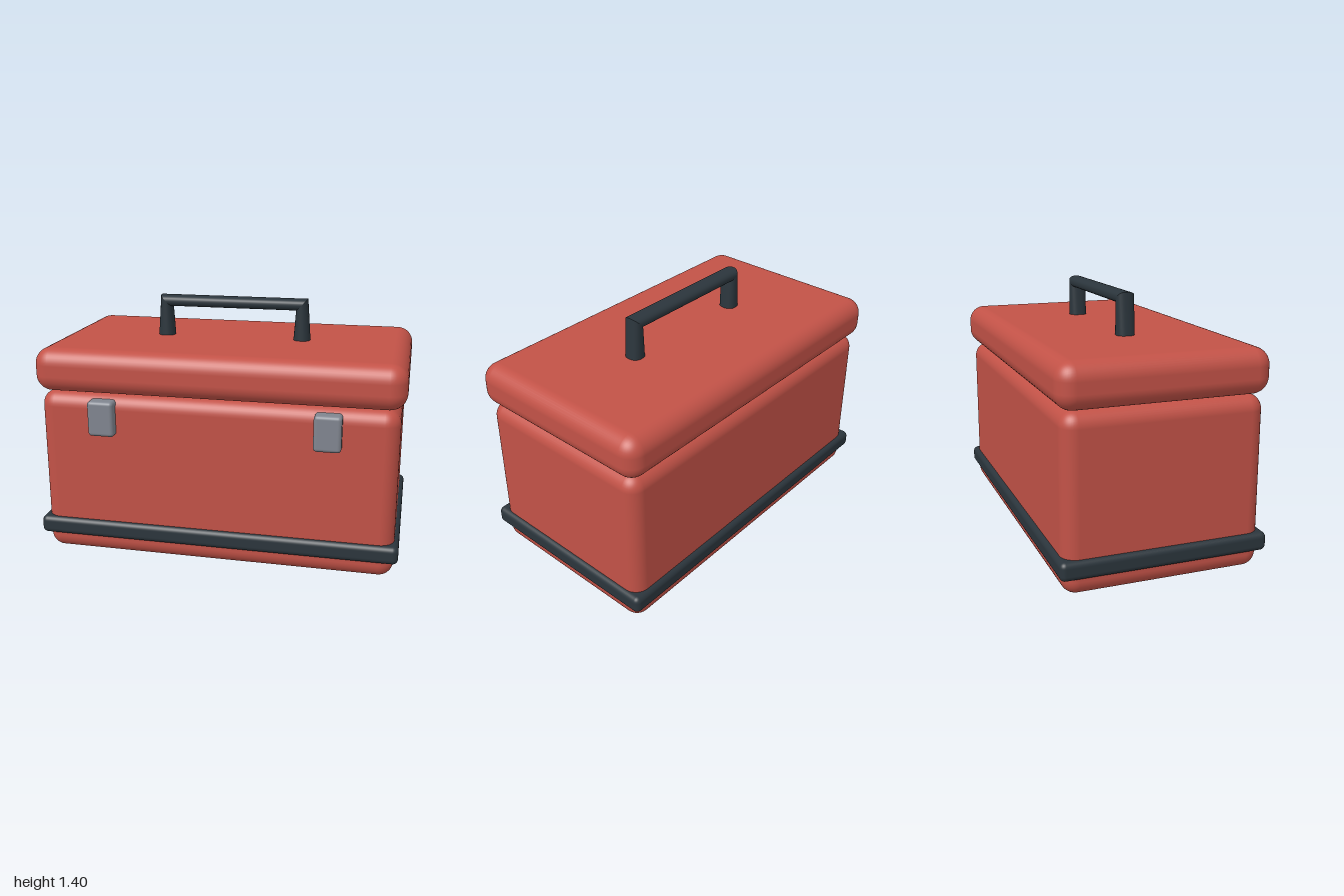
import * as THREE from 'three';
import { RoundedBoxGeometry } from 'three/addons/geometries/RoundedBoxGeometry.js';

const material = (name, color) => {
  const m = new THREE.MeshStandardMaterial({ color });
  m.name = name;
  return m;
};

// Mitred handle: rings at the two feet and the two diagonal corners
function handleGeometry() {
  const sides = 32;
  const foot = { x: 0.393, y: 1.15, dx: 0.049, dy: 0 };
  const corner = { x: 0.39, y: 1.3675, dx: 0.0325, dy: 0.0325 };
  const flip = (r) => ({ ...r, x: -r.x, dx: -r.dx });
  const rings = [flip(foot), flip(corner), corner, foot];
  const round = (v) => Math.sign(v) * Math.abs(v) ** 0.85;
  const positions = [], indices = [];
  // Each span has its own rings so the corners stay sharp
  for (let span = 0; span < 3; span++) {
    const base = positions.length / 3;
    for (const r of [rings[span], rings[span + 1]]) {
      for (let i = 0; i < sides; i++) {
        const a = (i / sides) * Math.PI * 2;
        const c = round(Math.cos(a));
        positions.push(r.x + r.dx * c, r.y + r.dy * c, 0.05 * round(Math.sin(a)));
      }
    }
    for (let i = 0; i < sides; i++) {
      const a = base + i, b = base + ((i + 1) % sides);
      indices.push(a, b, a + sides, b, b + sides, a + sides);
    }
  }
  const g = new THREE.BufferGeometry();
  g.setAttribute('position', new THREE.Float32BufferAttribute(positions, 3));
  g.setIndex(indices);
  g.computeVertexNormals();
  return g;
}

export function createModel() {
  const red = material('red shell', 0xc25247);
  const dark = material('dark trim', 0x2b353c);
  const grey = material('grey metal', 0x80858f);
  const midZ = -0.01;
  const group = new THREE.Group();
  group.name = 'toolbox';

  const add = (name, geometry, mat, x, y, z) => {
    const mesh = new THREE.Mesh(geometry, mat);
    mesh.name = name;
    mesh.position.set(x, y, z);
    group.add(mesh);
  };
  const box = (w, h, d, r) => new RoundedBoxGeometry(w, h, d, 5, r);

  // Shell and base band
  add('body', box(1.95, 0.93, 1.07, 0.08), red, 0, 0.465, midZ);
  add('lid', box(2, 0.24, 1.12, 0.09), red, 0, 1.05, midZ);
  add('baseBand', box(2, 0.1, 1.12, 0.03), dark, 0, 0.15, midZ);

  // Front latches
  for (const s of [-1, 1]) {
    add(s > 0 ? 'leftLatch' : 'rightLatch', box(0.145, 0.195, 0.1, 0.02), grey, s * 0.61, 0.808, 0.525);
  }

  // Carrying handle
  dark.side = THREE.DoubleSide;
  add('handle', handleGeometry(), dark, 0, 0, midZ);
  return group;
}
